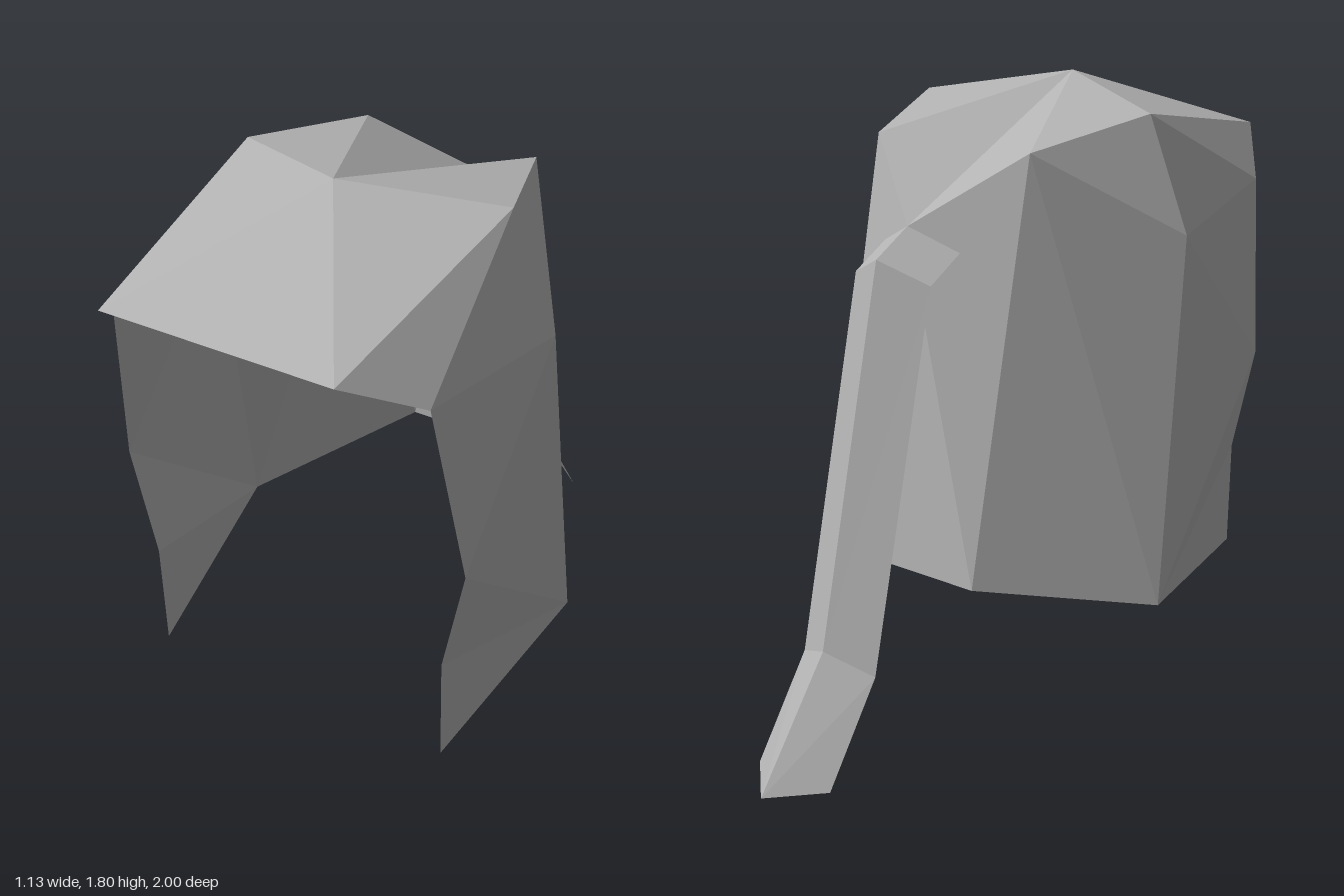
import * as THREE from 'three';

const CENTRE = 0.033; // the hair sits slightly off the origin

// Half outline of the hair shell: [half width, y, z]
const POINTS = {
  crown: [0, 1.8, 0.467], fringe: [0.333, 1.6, 1], topSide: [0.4, 1.733, 0.267],
  topBack: [0.267, 1.667, -0.133], nape: [0, 1.467, -0.333],
  temple: [0.467, 1.467, 0.8], ear: [0.533, 1.4, 0.267],
  cheek: [0.533, 0.933, 0.733], jaw: [0.467, 0.6, 0.733], tip: [0.467, 0.267, 0.733],
  hemSide: [0.533, 0.333, 0.067], hemBack: [0.267, 0.467, -0.4],
};

function point(name, side) {
  const [w, y, z] = POINTS[name];
  const half = name === 'hemSide' && side < 0 ? 0.6 : w; // uneven lower hem
  return [CENTRE + side * half, y, z];
}

// Mirrors a list of triangles written for the +x side
function bothSides(tris, corner) {
  return [1, -1].flatMap((side) => tris.flatMap((tri) => {
    const c = tri.map((t) => corner(t, side));
    return side > 0 ? c : c.reverse();
  }));
}

function facetMesh(name, corners, material) {
  const geometry = new THREE.BufferGeometry();
  geometry.setAttribute('position', new THREE.Float32BufferAttribute(corners.flat(), 3));
  geometry.computeVertexNormals();
  const mesh = new THREE.Mesh(geometry, material);
  mesh.name = name;
  return mesh;
}

export function createModel() {
  const group = new THREE.Group();
  group.name = 'hair';
  const hairGrey = new THREE.MeshStandardMaterial({ color: 0xb3b3b3, side: THREE.DoubleSide, flatShading: true });
  hairGrey.name = 'hairGrey';

  // Cap: crown, overhanging fringe and back of the head
  const cap = bothSides([
    ['crown', 'fringe', 'topSide'], ['crown', 'topSide', 'topBack'], ['crown', 'topBack', 'nape'],
  ], point);
  cap.push(point('crown', 1), point('fringe', -1), point('fringe', 1));
  group.add(facetMesh('cap', cap, hairGrey));

  // Side and back locks hanging down from the cap
  const locks = bothSides([
    ['topSide', 'fringe', 'temple'], ['topSide', 'temple', 'ear'], ['topSide', 'ear', 'topBack'],
    ['temple', 'cheek', 'ear'], ['ear', 'cheek', 'hemSide'], ['cheek', 'jaw', 'hemSide'],
    ['jaw', 'tip', 'hemSide'], ['ear', 'hemSide', 'topBack'], ['topBack', 'hemSide', 'hemBack'],
    ['topBack', 'hemBack', 'nape'],
  ], point);
  locks.push(point('nape', 1), point('hemBack', 1), point('hemBack', -1));
  group.add(facetMesh('sideAndBackLocks', locks, hairGrey));

  // Ponytail: an open roof-shaped strip, ridge and edge as [y, z]
  const rows = {
    ridge: [[1.467, -0.333], [1.4, -0.467], [0.333, -0.733], [0, -1]],
    edge: [[1.4, -0.267], [1.333, -0.4], [0.267, -0.667], [0, -0.867]],
  };
  const tail = [];
  for (let i = 0; i < 3; i++) {
    tail.push([['ridge', i], ['edge', i], ['ridge', i + 1]]);
    tail.push([['edge', i], ['edge', i + 1], ['ridge', i + 1]]);
  }
  const tailCorner = ([row, i], side) => [CENTRE + (row === 'edge' ? side * 0.133 : 0), ...rows[row][i]];
  group.add(facetMesh('ponytail', bothSides(tail, tailCorner), hairGrey));

  return group;
}
